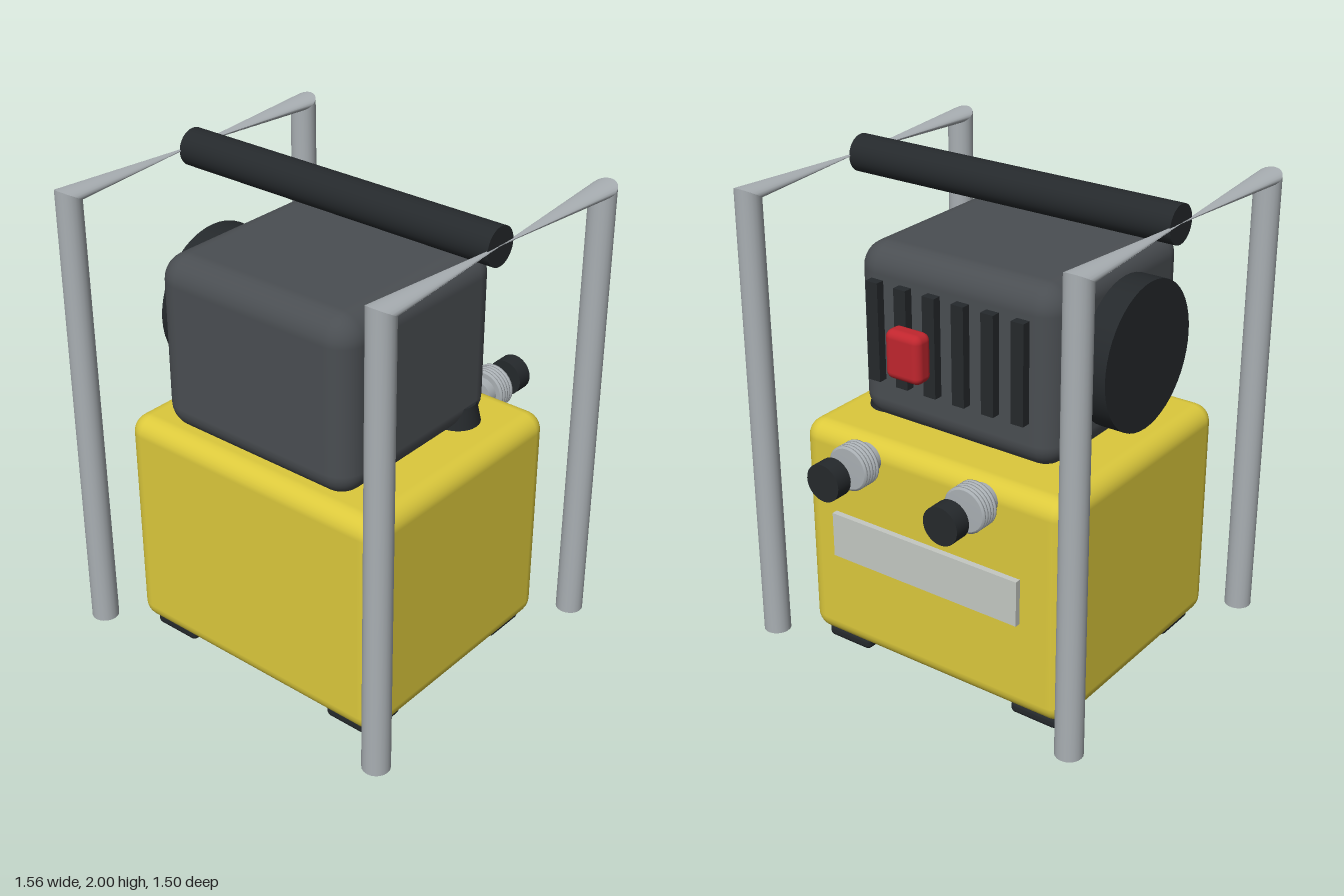
import * as THREE from 'three';
import { RoundedBoxGeometry } from 'three/addons/geometries/RoundedBoxGeometry.js';
import { mergeVertices } from 'three/addons/utils/BufferGeometryUtils.js';

const paint = (color) => new THREE.MeshStandardMaterial({ color });
const yellow = paint(0xdcc93c), charcoal = paint(0x4a4e52), black = paint(0x25292c);
const steel = paint(0xa9afb3), plate = paint(0xc4c8c2), red = paint(0xc0262e);
const tubeSteel = paint(0xa9afb3);
tubeSteel.side = THREE.DoubleSide;

function add(parent, name, geometry, material, x, y, z) {
  const mesh = new THREE.Mesh(geometry, material);
  mesh.name = name;
  mesh.position.set(x, y, z);
  parent.add(mesh);
  return mesh;
}

const rounded = (w, h, d, r, seg = 4) => new RoundedBoxGeometry(w, h, d, seg, r);

// Side hoop: two posts joined by an arm that twists half a turn and pinches mid-span
function hoopGeometry(radius = 0.055, sides = 20) {
  // centre z, centre y, ring half-axis along z and y, x direction
  const rings = [
    [0.7, 0.06, 0.055, 0, 1],
    [0.7, 1.93, 0.047, 0.027, 1],
    [0.06, 1.93, 0.047, 0, 0],
    [-0.58, 1.93, 0.047, -0.027, -1],
    [-0.58, 0.06, 0.055, 0, -1],
  ];
  const pos = [], index = [];
  rings.forEach(([z, y, az, ay, sx]) => {
    for (let j = 0; j < sides; j++) {
      const t = (j / sides) * Math.PI * 2, c = Math.cos(t);
      pos.push(sx * radius * Math.sin(t), y + ay * c, z + az * c);
    }
  });
  for (let i = 0; i < rings.length - 1; i++) {
    for (let j = 0; j < sides; j++) {
      const k = (j + 1) % sides;
      const a = i * sides + j, b = i * sides + k;
      const c = a + sides, d = b + sides;
      // past the pinch the winding turns inside out along the arm
      if (i === 2) index.push(a, c, b, b, c, d);
      else index.push(a, b, c, b, d, c);
    }
  }
  const geo = new THREE.BufferGeometry();
  geo.setAttribute('position', new THREE.Float32BufferAttribute(pos, 3));
  geo.setIndex(index);
  // crease between posts and arm, smooth around each section
  const parts = [[0, 1], [1, 2], [2, 3], [3, 4]].map(([s, e]) => {
    const part = new THREE.BufferGeometry();
    part.setAttribute('position', geo.getAttribute('position').clone());
    part.setIndex(index.slice(s * sides * 6, e * sides * 6));
    const clean = mergeVertices(part, 1e-6);
    clean.computeVertexNormals();
    return clean;
  });
  return parts;
}

// Ribbed hose connector with a narrow neck, axis along the back direction
function valve(x) {
  const g = new THREE.Group();
  g.name = 'valve';
  const neck = add(g, 'valveNeck', new THREE.CylinderGeometry(0.063, 0.063, 0.05, 28), steel, 0, 0, -0.515);
  neck.rotation.x = Math.PI / 2;
  const profile = [[0, -0.041], [0.083, -0.041]];
  for (let i = 0; i < 5; i++) {
    const y = -0.041 + i * 0.0164;
    profile.push([0.083, y + 0.002], [0.091, y + 0.005], [0.091, y + 0.0115], [0.083, y + 0.0145]);
  }
  profile.push([0.083, 0.041], [0, 0.041]);
  const ribs = new THREE.LatheGeometry(profile.map(([r, y]) => new THREE.Vector2(r, y)), 28);
  add(g, 'valveRibs', ribs, steel, 0, 0, -0.571).rotation.x = Math.PI / 2;
  const cap = new THREE.CylinderGeometry(0.076, 0.076, 0.07, 28);
  add(g, 'valveCap', cap, black, 0, 0, -0.715).rotation.x = Math.PI / 2;
  g.position.set(x, 0.945, 0);
  return g;
}

export function createModel() {
  const model = new THREE.Group();
  model.name = 'portableUnit';

  // Main housings
  add(model, 'tankBody', rounded(1.24, 0.955, 1.08, 0.075), yellow, 0, 0.5275, 0.06);
  add(model, 'motorHousing', rounded(0.92, 0.72, 0.88, 0.105), charcoal, 0, 1.365, 0.12);

  // Feet
  for (const x of [-0.46, 0.46]) {
    for (const z of [0.455, -0.34]) {
      add(model, 'foot', rounded(0.215, 0.055, 0.2, 0.022, 3), black, x, 0.0325, z);
    }
  }

  // Round side cover and the small dial on the other side
  const cover = new THREE.CylinderGeometry(0.295, 0.295, 0.11, 48);
  add(model, 'sideCover', cover, black, -0.523, 1.365, 0.12).rotation.z = Math.PI / 2;
  add(model, 'dial', new THREE.CylinderGeometry(0.075, 0.093, 0.085, 28), black, 0.397, 1.0625, -0.18);

  // Cooling fins, switch and plate on the back
  for (let i = 0; i < 6; i++) {
    add(model, 'coolingFin', new THREE.BoxGeometry(0.055, 0.4, 0.037), black, (i - 2.5) * 0.1325, 1.405, -0.35);
  }
  add(model, 'powerSwitch', rounded(0.157, 0.19, 0.085, 0.03), red, 0, 1.467, -0.568);
  add(model, 'backPlate', new THREE.BoxGeometry(0.88, 0.19, 0.025), plate, 0, 0.567, -0.51);
  for (const x of [-0.273, 0.273]) model.add(valve(x));

  // Carrying frame
  const hoopParts = hoopGeometry();
  for (const x of [-0.723, 0.723]) {
    const hoop = new THREE.Group();
    hoop.name = 'frameHoop';
    hoop.position.x = x;
    hoopParts.forEach((geo, i) => add(hoop, i % 3 ? 'hoopArm' : 'hoopPost', geo, tubeSteel, 0, 0, 0));
    for (const z of [0.7, -0.58]) {
      add(hoop, 'postEnd', new THREE.CircleGeometry(0.055, 20), tubeSteel, 0, 0.06, z).rotation.x = Math.PI / 2;
    }
    model.add(hoop);
  }
  const bar = new THREE.CylinderGeometry(0.075, 0.075, 1.446, 32);
  add(model, 'carryHandle', bar, black, 0, 1.925, 0.06).rotation.z = Math.PI / 2;

  return model;
}
